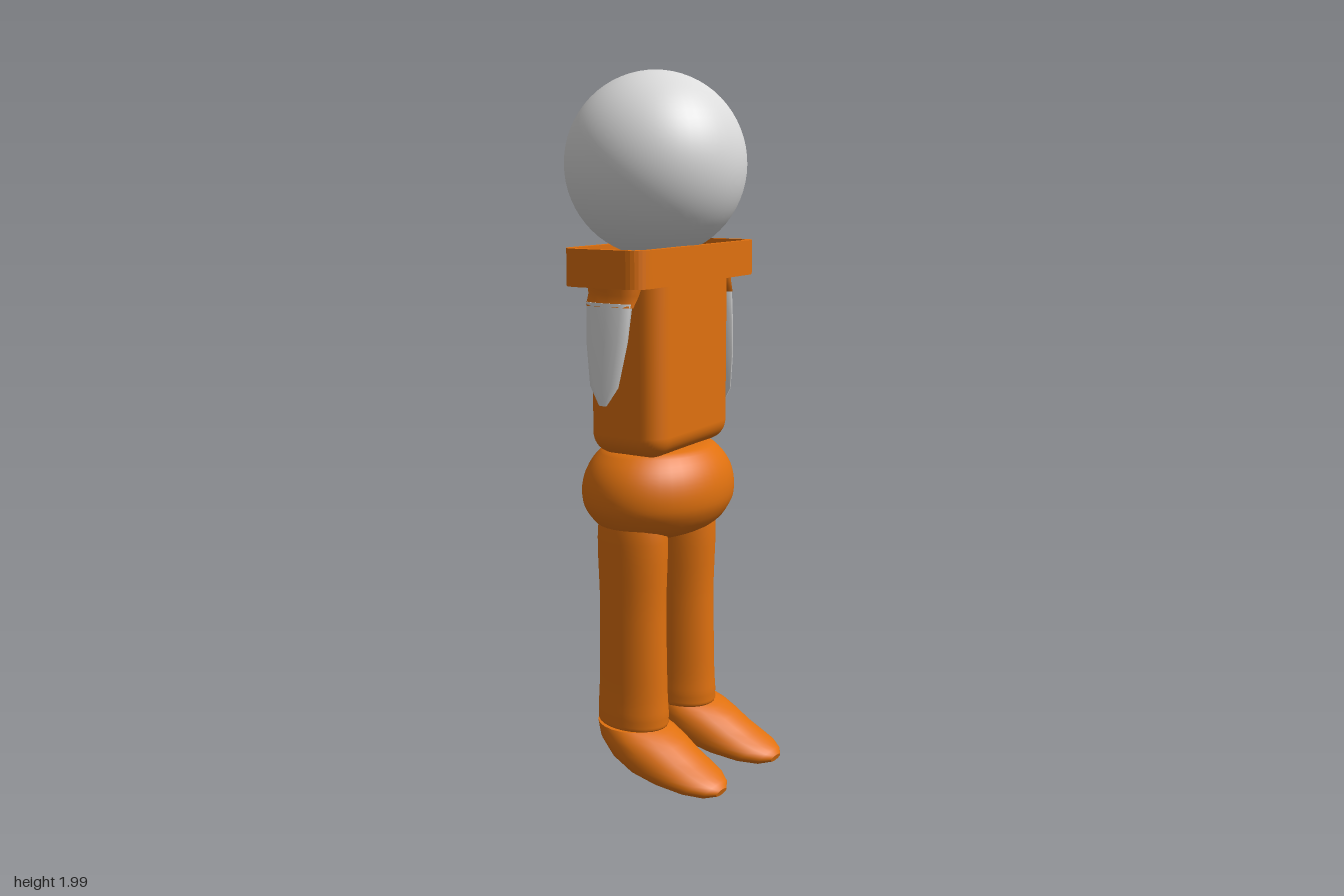
import * as THREE from 'three';
import { RoundedBoxGeometry } from 'three/addons/geometries/RoundedBoxGeometry.js';

const orange = new THREE.MeshStandardMaterial({ color: 0xe0710f });
orange.name = 'orange';
const paleGrey = new THREE.MeshStandardMaterial({ color: 0xdcdcdc });
paleGrey.name = 'pale grey';

function part(name, geometry, material, x = 0, y = 0, z = 0) {
  const mesh = new THREE.Mesh(geometry, material);
  mesh.name = name;
  mesh.position.set(x, y, z);
  return mesh;
}

// Closed skin over elliptical rings: centre x, half width, and the two ends [y, z] of the other axis
function loft(rings, segments) {
  const pos = [], index = [];
  const ring = ({ x, w, p, q }, size) => {
    for (let j = 0; j < segments; j++) {
      const t = (j / segments) * Math.PI * 2;
      const c = Math.cos(t) * size, s = Math.sin(t) * size;
      pos.push(x + w * c, (p[0] + q[0]) / 2 + ((p[0] - q[0]) / 2) * s,
        (p[1] + q[1]) / 2 + ((p[1] - q[1]) / 2) * s);
    }
  };
  const first = rings[0], last = rings[rings.length - 1];
  // Doubled end rings keep the cap edges sharp
  ring(first, 0);
  ring(first, 1);
  rings.forEach((r) => ring(r, 1));
  ring(last, 1);
  ring(last, 0);
  const count = rings.length + 4;
  for (let i = 0; i < count - 1; i++) {
    if (i === 1 || i === count - 3) continue;
    for (let j = 0; j < segments; j++) {
      const k = (j + 1) % segments;
      const a = i * segments + j, b = i * segments + k;
      index.push(a, b, a + segments, b, b + segments, a + segments);
    }
  }
  const g = new THREE.BufferGeometry();
  g.setAttribute('position', new THREE.Float32BufferAttribute(pos, 3));
  g.setIndex(index);
  g.computeVertexNormals();
  return g;
}

function roundedRect(Type, w, d, r) {
  const s = new Type(), x = w / 2, y = d / 2;
  s.moveTo(-x + r, -y);
  s.lineTo(x - r, -y);
  s.quadraticCurveTo(x, -y, x, -y + r);
  s.lineTo(x, y - r);
  s.quadraticCurveTo(x, y, x - r, y);
  s.lineTo(-x + r, y);
  s.quadraticCurveTo(-x, y, -x, y - r);
  s.lineTo(-x, -y + r);
  s.quadraticCurveTo(-x, -y, -x + r, -y);
  return s;
}

function plate(shape, height) {
  return new THREE.ExtrudeGeometry(shape, { depth: height, bevelEnabled: false, curveSegments: 8 })
    .rotateX(-Math.PI / 2);
}

function lathe(points, segments) {
  const curve = new THREE.SplineCurve(points.map(([r, y]) => new THREE.Vector2(r, y)));
  const smooth = curve.getPoints(32).map((v) => new THREE.Vector2(Math.max(v.x, 0), v.y));
  return new THREE.LatheGeometry(smooth, segments);
}

// Shoulder stub and blade; path points are [x, y, half thickness, half depth]
function arm(side, path) {
  const g = new THREE.Group();
  g.name = side + 'Arm';
  const rings = (list) => list.map(([x, y, w, d]) => ({ x, w, p: [y, d], q: [y, -d] }));
  const [x, y] = path[0];
  const stub = [[x * 0.88, 1.445, 0.055, 0.085], [x * 0.93, 1.41, 0.03, 0.08], [x, y - 0.01, 0.018, 0.075]];
  g.add(part(side + 'ShoulderStub', loft(rings(stub), 12), orange));
  g.add(part(side + 'ArmBlade', loft(rings(path), 10), paleGrey));
  return g;
}

function foot(x0, x1) {
  // [top z, top y, bottom z, bottom y, half width], ankle to toe
  const s = [
    [0.07, 0.16, -0.14, 0.16, 0.092], [0.10, 0.15, -0.125, 0.115, 0.104],
    [0.14, 0.13, -0.08, 0.065, 0.108], [0.18, 0.105, -0.01, 0.028, 0.103],
    [0.215, 0.085, 0.08, 0.012, 0.096], [0.25, 0.066, 0.18, 0.006, 0.082],
    [0.275, 0.05, 0.245, 0.006, 0.055], [0.285, 0.035, 0.278, 0.015, 0.025],
  ];
  return loft(s.map(([tz, ty, bz, by, w], i) => ({
    x: x0 + ((x1 - x0) * i) / (s.length - 1), w, p: [ty, tz], q: [by, bz],
  })), 20);
}

export function createModel() {
  const model = new THREE.Group();
  model.name = 'figure';

  model.add(part('head', new THREE.SphereGeometry(0.252, 48, 32), paleGrey, -0.023, 1.748, -0.033));

  // Upper body, turned slightly
  const upper = new THREE.Group();
  upper.name = 'upperBody';
  upper.position.z = -0.022;
  upper.rotation.y = 0.11;
  upper.add(part('torso', new RoundedBoxGeometry(0.415, 0.53, 0.24, 5, 0.06), orange, -0.017, 1.225, 0));

  // Shoulder tray: raised rim around a lower floor
  const rim = roundedRect(THREE.Shape, 0.65, 0.255, 0.06);
  rim.holes.push(roundedRect(THREE.Path, 0.61, 0.215, 0.045));
  upper.add(part('shoulderRim', plate(rim, 0.1), orange, 0, 1.432, 0));
  upper.add(part('shoulderFloor', plate(roundedRect(THREE.Shape, 0.62, 0.225, 0.045), 0.06), orange, 0, 1.44, 0));

  upper.add(arm('left', [
    [0.266, 1.39, 0.017, 0.073], [0.28, 1.29, 0.017, 0.07], [0.297, 1.19, 0.014, 0.062],
    [0.315, 1.08, 0.01, 0.045], [0.325, 1.03, 0.005, 0.012],
  ]));
  upper.add(arm('right', [
    [-0.277, 1.39, 0.017, 0.073], [-0.29, 1.29, 0.015, 0.066],
    [-0.305, 1.17, 0.011, 0.045], [-0.312, 1.12, 0.005, 0.012],
  ]));
  model.add(upper);

  // Hips
  const hips = part('hips', lathe([
    [0, 0.685], [0.05, 0.69], [0.18, 0.732], [0.235, 0.785], [0.248, 0.838],
    [0.235, 0.895], [0.2, 0.942], [0.15, 0.967], [0, 0.972],
  ], 40), orange, -0.008, 0, -0.035);
  hips.scale.z = 0.81;
  model.add(hips);

  // Legs and feet
  for (const [side, x, toe] of [['left', 0.098, 0.145], ['right', -0.133, -0.133]]) {
    const leg = part(side + 'Leg', lathe([
      [0, 0.15], [0.075, 0.155], [0.085, 0.185], [0.082, 0.27], [0.079, 0.5], [0.077, 0.78], [0, 0.8],
    ], 28), orange, x, 0, -0.033);
    leg.scale.z = 1.32;
    model.add(leg);
    model.add(part(side + 'Foot', foot(x + (side === 'left' ? 0.014 : -0.003), toe), orange));
  }
  return model;
}
